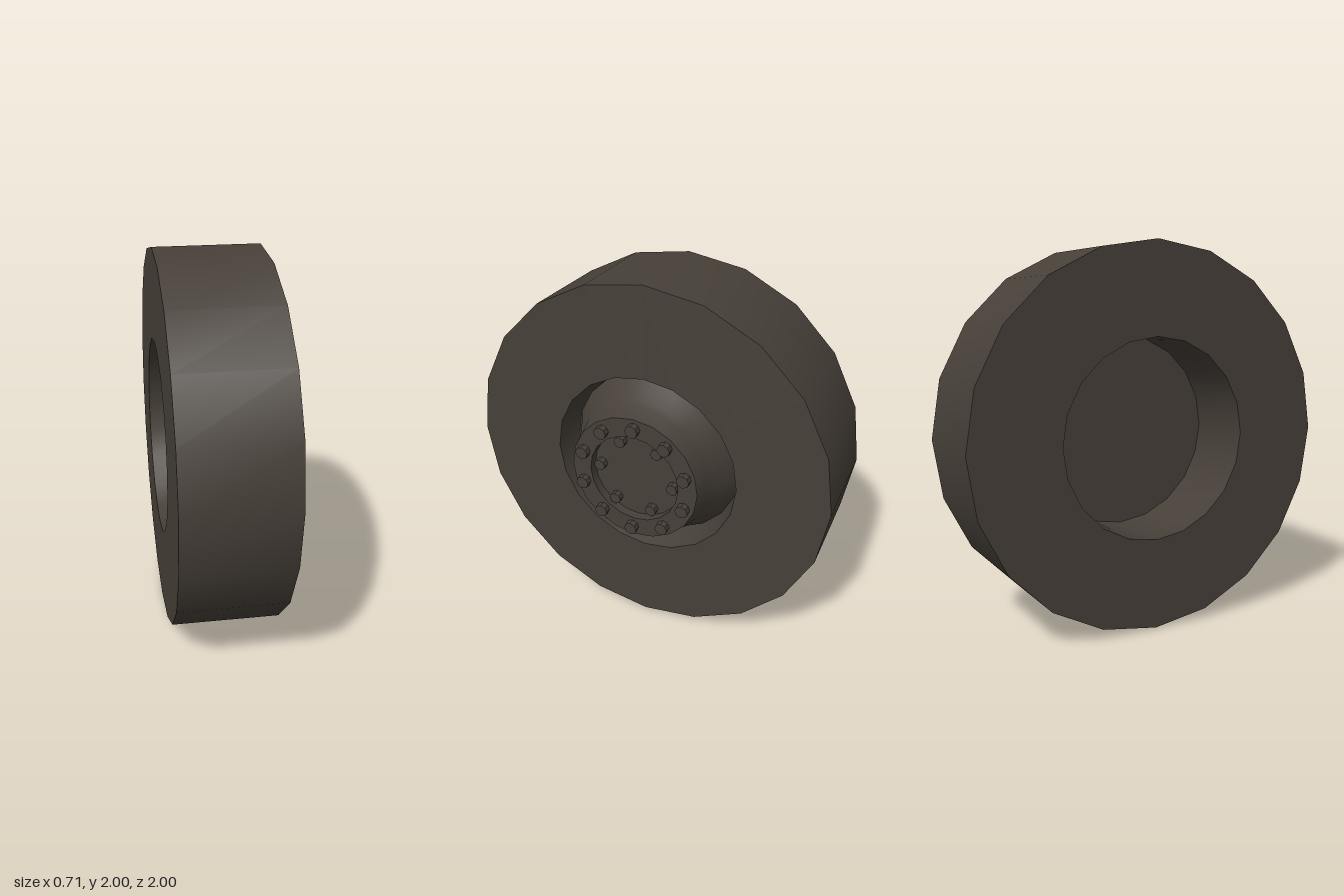
import * as THREE from 'three';
import { toCreasedNormals } from 'three/addons/utils/BufferGeometryUtils.js';

const SIDES = 20;
const CENTRE_Y = 1.002;

export function createModel() {
  const wheel = new THREE.Group();
  wheel.name = 'wheel';
  const rubber = new THREE.MeshStandardMaterial({ color: 0x474039 });
  rubber.name = 'dark brown';

  // Turn a profile of [radius, x] pairs around the x axle
  function turned(name, profile) {
    const points = profile.map(([r, x]) => new THREE.Vector2(r, x));
    let geometry = new THREE.LatheGeometry(points, SIDES);
    geometry.rotateZ(-Math.PI / 2);
    geometry = toCreasedNormals(geometry, 0.6);
    const mesh = new THREE.Mesh(geometry, rubber);
    mesh.name = name;
    wheel.add(mesh);
  }

  // Tyre with its bore, running from the back bore round to the front recess
  turned('tyre', [
    [0.52, 0.04], [0.52, -0.355], [0.995, -0.355],
    [1.0, 0.195], [0.515, 0.195], [0.48, 0.04],
  ]);

  // Flat web closing the back bore
  turned('backPlate', [[0, 0.04], [0.52, 0.04]]);

  // Flared hub with a raised rim and a sunken centre
  turned('hub', [
    [0.48, 0.04], [0.43, 0.125], [0.395, 0.195], [0.377, 0.235],
    [0.355, 0.32], [0.25, 0.32], [0.25, 0.27], [0, 0.27],
  ]);

  // Rings of bolts; the angle is measured from +z towards +y
  function boltRing(name, count, ringRadius, startDegrees, boltRadius, sides, x0, x1) {
    const ring = new THREE.Group();
    ring.name = name;
    const geometry = new THREE.CylinderGeometry(boltRadius, boltRadius, x1 - x0, sides);
    geometry.rotateZ(-Math.PI / 2);
    const bolt = toCreasedNormals(geometry, 0.6);
    for (let i = 0; i < count; i++) {
      const a = THREE.MathUtils.degToRad(startDegrees + (360 / count) * i);
      const mesh = new THREE.Mesh(bolt, rubber);
      mesh.name = 'bolt';
      mesh.position.set((x0 + x1) / 2, Math.sin(a) * ringRadius, Math.cos(a) * ringRadius);
      ring.add(mesh);
    }
    wheel.add(ring);
  }
  boltRing('outerBolts', 10, 0.3, 91.5, 0.035, 8, 0.31, 0.355);
  boltRing('innerBolts', 6, 0.207, 5.5, 0.031, 8, 0.26, 0.305);

  wheel.position.y = CENTRE_Y;
  const model = new THREE.Group();
  model.name = 'wheelModel';
  model.add(wheel);
  return model;
}
